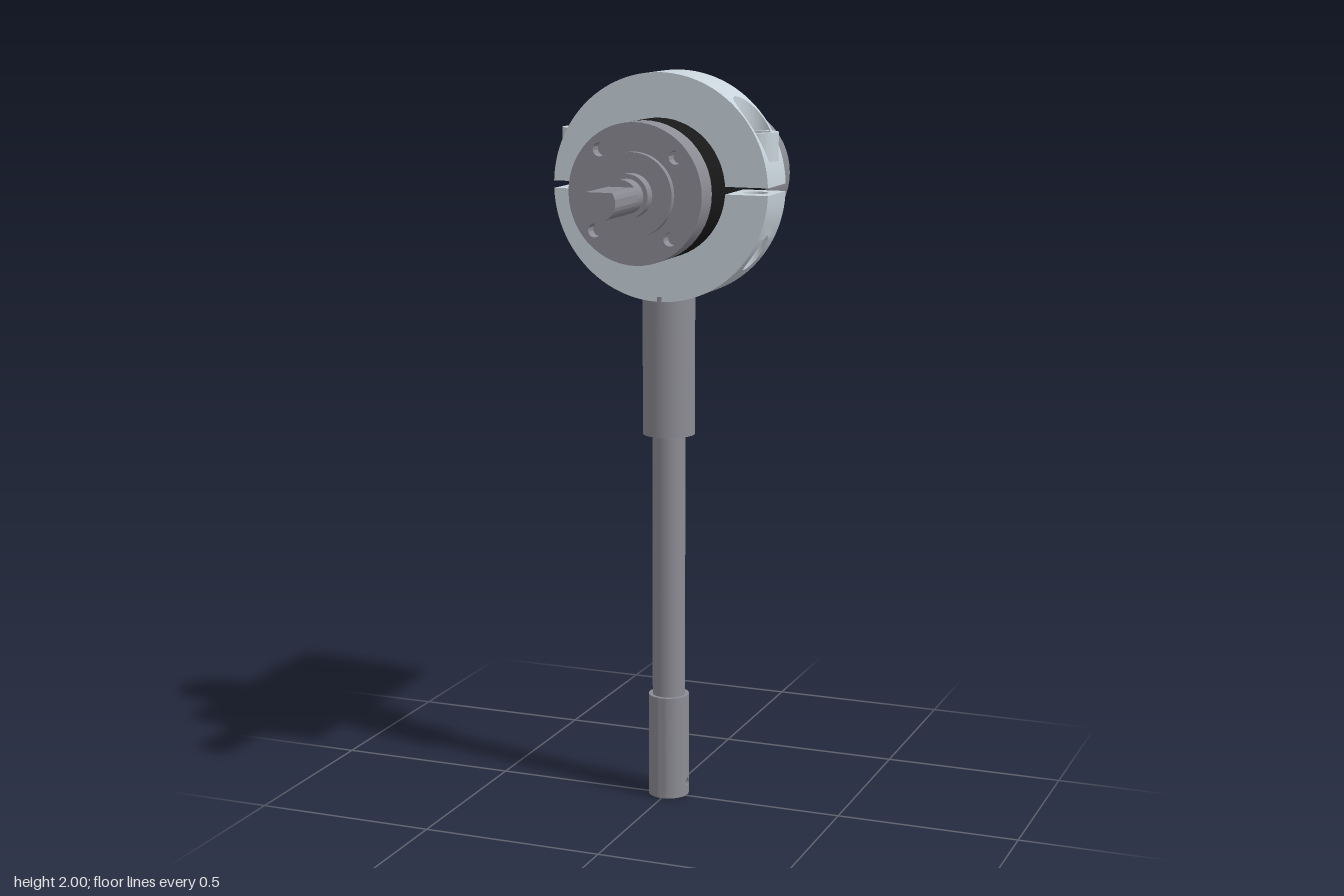
import * as THREE from 'three';
import { toCreasedNormals, mergeGeometries } from 'three/addons/utils/BufferGeometryUtils.js';

const AXIS_Y = 1.7;              // height of the motor axis
const Z0 = -0.085, Z1 = 0.06;    // clamp faces
const ZC = (Z0 + Z1) / 2;
const R = 0.303, RI = 0.184;     // clamp radii
const BOLT_X = 0.245, GAP = 0.01;

const metal = new THREE.MeshStandardMaterial({ color: 0x8c8c94 });
const metalOpen = new THREE.MeshStandardMaterial({ color: 0x8c8c94, side: THREE.DoubleSide });
const black = new THREE.MeshStandardMaterial({ color: 0x181818 });
const alloy = new THREE.MeshStandardMaterial({ color: 0xc8d3db, side: THREE.DoubleSide });

function add(parent, name, geometry, material) {
  const mesh = new THREE.Mesh(geometry, material);
  mesh.name = name;
  parent.add(mesh);
  return mesh;
}

// Cylinder along z between two depths
function cylZ(r, z0, z1) {
  return new THREE.CylinderGeometry(r, r, z1 - z0, 56).rotateX(Math.PI / 2).translate(0, 0, (z0 + z1) / 2);
}

// Cylinder along y between two heights
function cylY(r, y0, y1, open = false) {
  return new THREE.CylinderGeometry(r, r, y1 - y0, 40, 1, open).translate(0, (y0 + y1) / 2, 0);
}

function circle(r, x = 0, y = 0) {
  return new THREE.Path().absarc(x, y, r, 0, Math.PI * 2, true);
}

function extrude(shape, depth, curveSegments = 28) {
  const g = new THREE.ExtrudeGeometry(shape, { depth, bevelEnabled: false, curveSegments });
  return toCreasedNormals(g, 0.6);
}

function quadGeometry(quads) {
  const pos = [];
  for (const [a, b, c, d] of quads) pos.push(...a, ...b, ...c, ...a, ...c, ...d);
  const g = new THREE.BufferGeometry();
  g.setAttribute('position', new THREE.Float32BufferAttribute(pos, 3));
  return toCreasedNormals(g, 0.6);
}

// Cylinder skin around z; half(angle) is the half-width of an opening centred on zc
function skin(r, z0, z1, zc, angles, half) {
  const quads = [];
  const P = (t, z) => [r * Math.cos(t), r * Math.sin(t), z];
  for (let i = 0; i < angles.length - 1; i++) {
    const a = angles[i], b = angles[i + 1], mid = (a + b) / 2;
    const open = half(mid) > 0;
    const ha = open ? half(a) : 0, hb = open ? half(b) : 0;
    quads.push([P(a, z0), P(b, z0), P(b, zc - hb), P(a, zc - ha)]);
    quads.push([P(a, zc + ha), P(b, zc + hb), P(b, z1), P(a, z1)]);
  }
  return quads;
}

function range(a, b, n) {
  return Array.from({ length: n + 1 }, (_, i) => a + (b - a) * i / n);
}

// Upper half of the clamp with a vertical round pocket at each end
function clampHalf(pocketR, floor) {
  const start = Math.asin(GAP / R);
  const t0 = Math.max(Math.asin(floor / R), Math.acos(Math.min(1, (BOLT_X + pocketR) / R)));
  const t1 = Math.acos((BOLT_X - pocketR) / R);
  const half = t => {
    const inside = t >= t0 - 1e-6 && t <= t1 + 1e-6;
    return inside ? Math.sqrt(Math.max(0, pocketR ** 2 - (R * Math.cos(t) - BOLT_X) ** 2)) : 0;
  };
  const pocketAngles = range(t0, t1, 32);
  const side = [...range(start, t0, 4), ...pocketAngles.slice(1), ...range(t1, Math.PI / 2, 12).slice(1)];
  const quads = skin(R, Z0, Z1, ZC, side, half);

  // Pocket walls drop from the skin to the floor
  for (let i = 0; i < 32; i++) {
    for (const s of [-1, 1]) {
      const [a, b] = [pocketAngles[i], pocketAngles[i + 1]];
      const top = t => [R * Math.cos(t), R * Math.sin(t), ZC + s * half(t)];
      const low = t => [R * Math.cos(t), floor, ZC + s * half(t)];
      quads.push(s > 0 ? [top(a), top(b), low(b), low(a)] : [top(b), top(a), low(a), low(b)]);
    }
  }
  // Mirror to the other end, keeping the corner order outward
  const flip = p => [-p[0], p[1], p[2]];
  const mirrored = quads.map(q => q.map(flip).reverse());
  const group = new THREE.Group();
  add(group, 'clampSkin', quadGeometry([...quads, ...mirrored]), alloy);

  // Flat half-ring faces
  const inner = Math.asin(GAP / RI);
  const ring = new THREE.Shape();
  ring.absarc(0, 0, R, start, Math.PI - start, false);
  ring.absarc(0, 0, RI, Math.PI - inner, inner, true);
  const face = new THREE.ShapeGeometry(ring, 48);
  const back = face.clone().rotateY(Math.PI).translate(0, 0, Z0);
  add(group, 'clampFaces', mergeGeometries([face.translate(0, 0, Z1), back]), alloy);

  // Split faces with bolt bores
  for (const s of [-1, 1]) {
    const split = new THREE.Shape();
    split.moveTo(s * RI, Z0).lineTo(s * R, Z0).lineTo(s * R, Z1).lineTo(s * RI, Z1).closePath();
    split.holes.push(circle(0.033, s * BOLT_X, ZC));
    add(group, 'splitFace', new THREE.ShapeGeometry(split, 24).rotateX(Math.PI / 2).translate(0, GAP, 0), alloy);
    if (floor > GAP) add(group, 'boltBore', cylY(0.033, GAP, floor, true).translate(s * BOLT_X, 0, ZC), alloy);
  }
  return group;
}

// Cap screw with a hexagonal socket
function capScrew() {
  const group = new THREE.Group();
  group.name = 'capScrew';
  const head = new THREE.Shape().absarc(0, 0, 0.0585, 0, Math.PI * 2, false);
  const hex = range(0, Math.PI * 5 / 3, 5).map(t => new THREE.Vector2(0.043 * Math.cos(t), 0.043 * Math.sin(t)));
  head.holes.push(new THREE.Path(hex.reverse()));
  add(group, 'screwSocket', extrude(head, 0.04).rotateX(-Math.PI / 2).translate(0, 0.11, 0), alloy);
  add(group, 'screwHead', cylY(0.0585, 0.075, 0.11), alloy);
  return group;
}

function motor() {
  const group = new THREE.Group();
  group.name = 'motor';
  add(group, 'motorBody', cylZ(0.185, -0.268, 0.16), black);
  add(group, 'rearFlange', cylZ(0.195, -0.3, -0.268), metal);
  add(group, 'rearNeck', cylZ(0.13, -0.33, -0.3), metal);
  add(group, 'rearCap', cylZ(0.185, -0.472, -0.328), metal);
  add(group, 'frontCap', cylZ(0.185, 0.16, 0.2), metal);

  // Front plate with four mounting holes
  const plate = new THREE.Shape().absarc(0, 0, 0.185, 0, Math.PI * 2, false);
  for (let i = 0; i < 4; i++) {
    const t = THREE.MathUtils.degToRad(41 + i * 90);
    plate.holes.push(circle(0.018, 0.149 * Math.cos(t), 0.149 * Math.sin(t)));
  }
  add(group, 'frontPlate', extrude(plate, 0.034).translate(0, 0, 0.2), metal);
  add(group, 'frontBoss', cylZ(0.11, 0.23, 0.253), metal);
  add(group, 'shaftCollar', cylZ(0.057, 0.25, 0.285), metal);
  add(group, 'shaft', cylZ(0.045, 0.28, 0.325), metal);

  // Shaft end with a flat on top
  const flat = Math.asin(0.027 / 0.045);
  const d = new THREE.Shape().absarc(0, 0, 0.045, Math.PI - flat, Math.PI * 2 + flat, false);
  add(group, 'shaftFlat', extrude(d, 0.146, 40).translate(0, 0, 0.325), metal);
  return group;
}

// Bottom sleeve with a bore and a cross hole
function sleeve() {
  const group = new THREE.Group();
  group.name = 'sleeve';
  const r = 0.056, bore = 0.024, hole = 0.013, depth = 0.12, holeY = 0.035;
  const tube = (rad, top) => {
    const t = Math.asin(hole / rad);
    const half = a => Math.sqrt(Math.max(0, hole ** 2 - (rad * Math.sin(a)) ** 2));
    const arc = [...range(-t, t, 12), ...range(t, Math.PI - t, 20).slice(1),
      ...range(Math.PI - t, Math.PI + t, 12).slice(1), ...range(Math.PI + t, Math.PI * 2 - t, 20).slice(1)];
    // the skin runs along -y once turned upright
    return quadGeometry(skin(rad, -top, 0, -holeY, arc, half)).rotateX(Math.PI / 2);
  };
  add(group, 'sleeveWall', tube(r, 0.29), metalOpen);
  add(group, 'sleeveBore', tube(bore, depth), metalOpen);
  const disc = (rad, y) => new THREE.CircleGeometry(rad, 40).rotateX(-Math.PI / 2).translate(0, y, 0);
  add(group, 'sleeveTop', disc(r, 0.29), metalOpen);
  add(group, 'boreEnd', disc(bore, depth), metalOpen);
  add(group, 'sleeveRim', new THREE.RingGeometry(bore, r, 40).rotateX(Math.PI / 2), metalOpen);
  for (const s of [-1, 1]) {
    const g = cylY(hole, 0.022, 0.055, true).rotateZ(-s * Math.PI / 2).translate(0, holeY, 0);
    add(group, 'crossHole', g, metalOpen);
  }
  return group;
}

export function createModel() {
  const model = new THREE.Group();
  model.name = 'clampedMotorOnPost';

  const headGroup = new THREE.Group();
  headGroup.name = 'motorAndClamp';
  headGroup.position.y = AXIS_Y;
  headGroup.add(motor());

  const upper = clampHalf(0.0615, 0.075);
  upper.name = 'upperClamp';
  const lower = clampHalf(0.033, GAP);
  lower.name = 'lowerClamp';
  lower.rotation.z = Math.PI;
  headGroup.add(upper, lower);
  for (const s of [-1, 1]) {
    const screw = capScrew();
    screw.position.set(s * BOLT_X, 0, ZC);
    headGroup.add(screw);
  }
  model.add(headGroup);

  // Post below the clamp
  const post = new THREE.Group();
  post.name = 'post';
  post.position.z = ZC + 0.002;
  add(post, 'postSocket', cylY(0.071, 1.027, 1.41), metal);
  add(post, 'postRod', cylY(0.045, 0.28, 1.03), metal);
  post.add(sleeve());
  model.add(post);
  return model;
}
